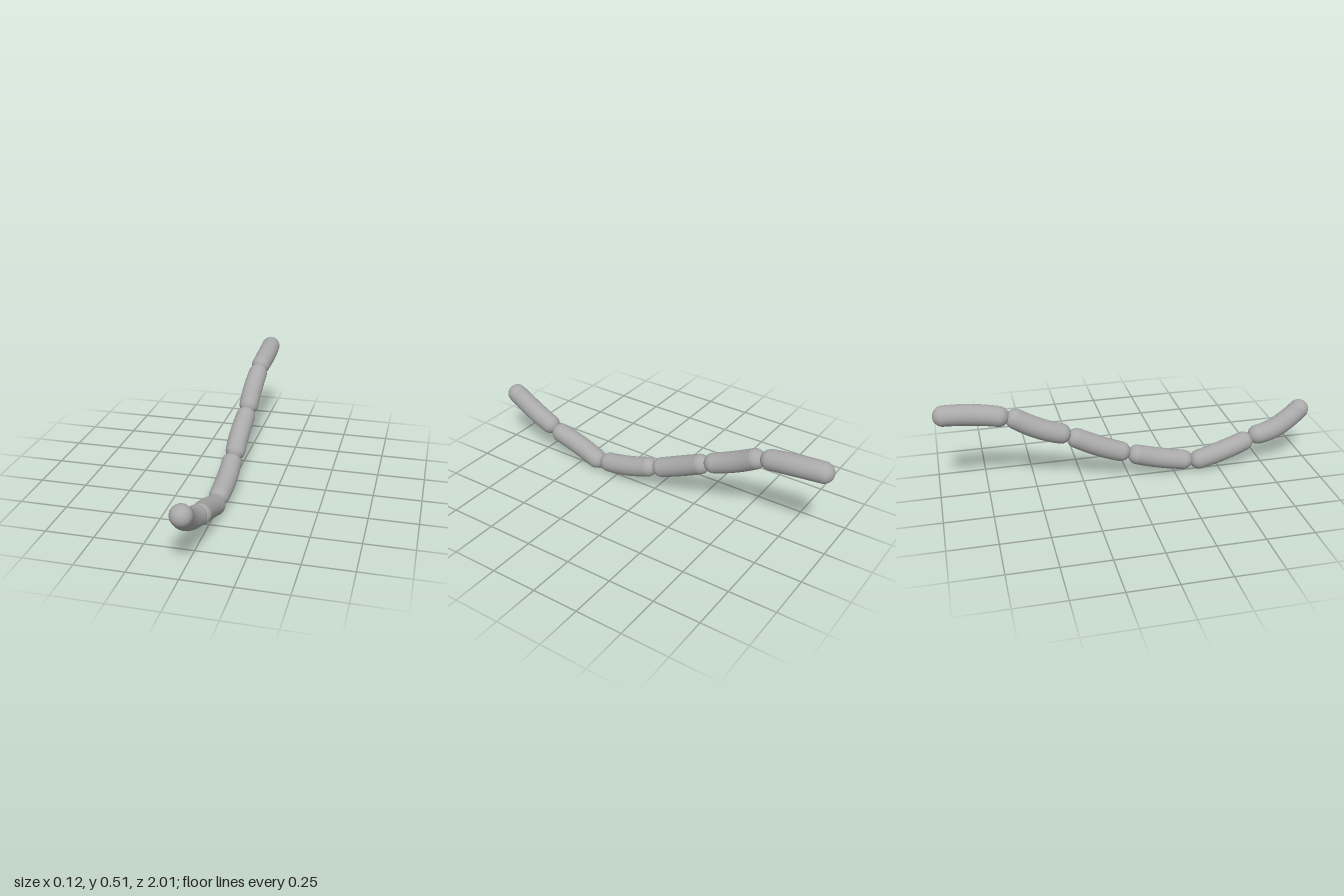
import * as THREE from 'three';

// Each link: cap centre, middle and other cap centre, as [x, y, z]
const LINKS = [
  [[0.003, 0.298, 0.953], [-0.008, 0.212, 0.83], [0, 0.17, 0.722]],
  [[0, 0.137, 0.641], [-0.006, 0.096, 0.518], [0.002, 0.055, 0.393]],
  [[0.002, 0.064, 0.3], [0.005, 0.09, 0.17], [0, 0.127, 0.045]],
  [[0, 0.158, -0.047], [-0.005, 0.205, -0.16], [0, 0.263, -0.28]],
  [[0, 0.3, -0.362], [-0.006, 0.345, -0.475], [0, 0.408, -0.59]],
  [[0, 0.432, -0.675], [0.006, 0.453, -0.81], [0.002, 0.463, -0.948]],
];
const RADIUS = 0.053;

// Bends a capsule along a smooth curve, keeping its round ends
function bentCapsule(points) {
  const [a, m, b] = points.map((p) => new THREE.Vector3(...p));
  const control = m.clone().multiplyScalar(2).sub(a.clone().add(b).multiplyScalar(0.5));
  const curve = new THREE.QuadraticBezierCurve3(a, control, b);
  const length = curve.getLength();
  const geometry = new THREE.CapsuleGeometry(RADIUS, length, 10, 32, 16);
  const pos = geometry.attributes.position;
  const nor = geometry.attributes.normal;
  const v = new THREE.Vector3();
  const n = new THREE.Vector3();
  const frame = new THREE.Matrix4();
  for (let i = 0; i < pos.count; i++) {
    v.fromBufferAttribute(pos, i);
    n.fromBufferAttribute(nor, i);
    const along = THREE.MathUtils.clamp(v.y, -length / 2, length / 2);
    const t = along / length + 0.5;
    const tangent = curve.getTangentAt(t);
    const side = new THREE.Vector3(1, 0, 0).addScaledVector(tangent, -tangent.x).normalize();
    frame.makeBasis(side, tangent, side.clone().cross(tangent));
    v.y -= along;
    // slight fullness at mid length
    const swell = 1 + 0.03 * Math.sin(Math.PI * t);
    v.x *= swell;
    v.z *= swell;
    v.applyMatrix4(frame).add(curve.getPointAt(t));
    n.transformDirection(frame);
    pos.setXYZ(i, v.x, v.y, v.z);
    nor.setXYZ(i, n.x, n.y, n.z);
  }
  return geometry;
}

export function createModel() {
  const group = new THREE.Group();
  group.name = 'sausageChain';
  const casing = new THREE.MeshStandardMaterial({ color: 0xaaaaaa });
  casing.name = 'grey casing';
  LINKS.forEach((points, i) => {
    const link = new THREE.Mesh(bentCapsule(points), casing);
    link.name = `sausageLink${i + 1}`;
    group.add(link);
  });
  return group;
}
